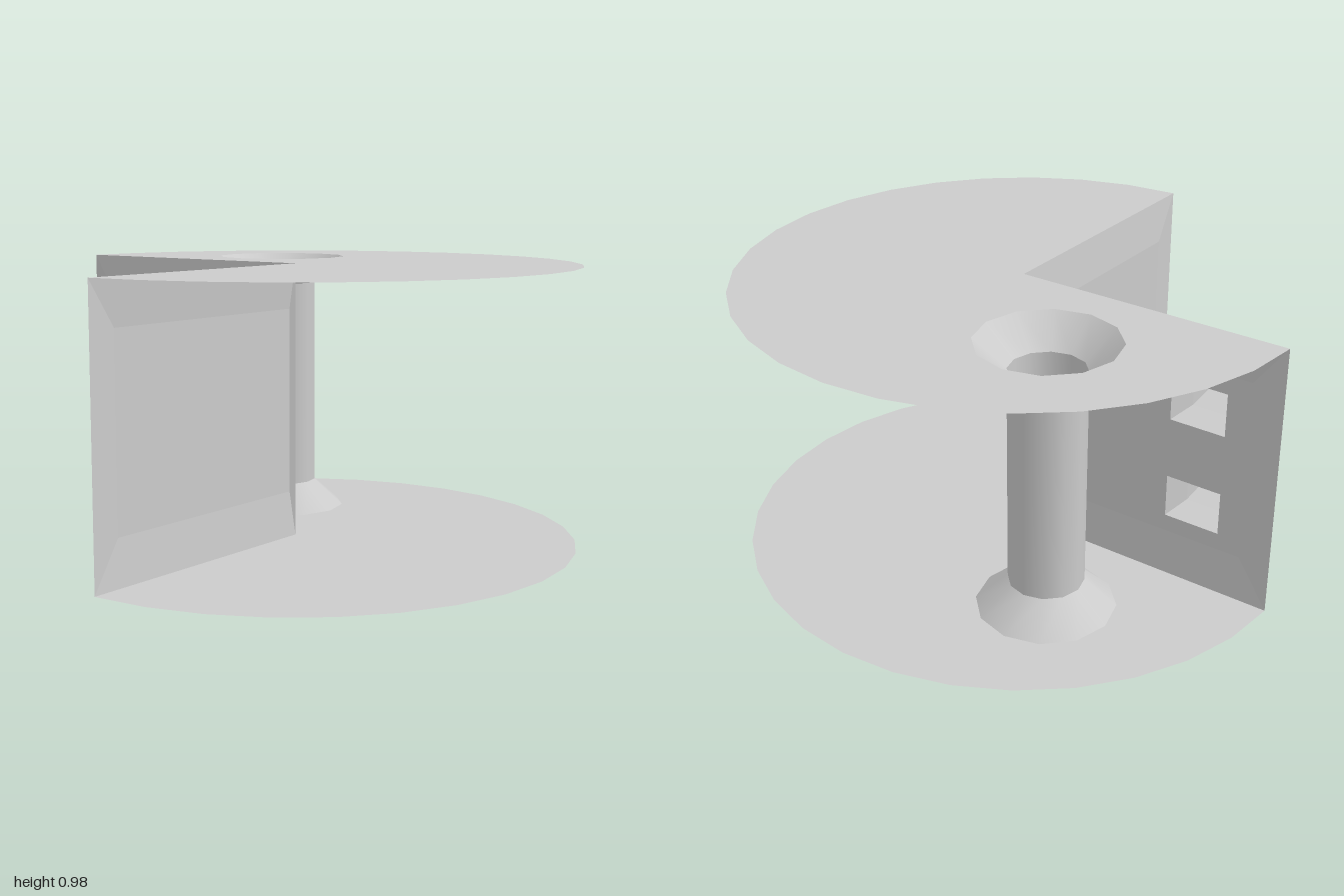
import * as THREE from 'three';

const H = 0.98, LOW = 0.16, HIGH = 0.82, BULGE = 0.015;
const HOLE = { x: -0.37, z: -0.385, r: 0.24, sides: 12 };
const HORN_Y = [0.3, 0.675], HORN_LEFT = -0.795, HORN_RIGHT = -0.59, HORN_HALF = 0.078;

const smooth = new THREE.MeshStandardMaterial({ color: 0xcccccc, side: THREE.DoubleSide });
const flat = new THREE.MeshStandardMaterial({ color: 0xcccccc, side: THREE.DoubleSide, flatShading: true });

function add(parent, name, geometry, material) {
  const mesh = new THREE.Mesh(geometry, material);
  mesh.name = name;
  parent.add(mesh);
  return mesh;
}

// Builds quads between successive rings of points
function loft(rings, closed) {
  const n = rings[0].length, index = [];
  for (let i = 0; i < rings.length - 1; i++) {
    for (let j = 0; j < (closed ? n : n - 1); j++) {
      const a = i * n + j, b = i * n + (j + 1) % n;
      index.push(a, b, b + n, a, b + n, a + n);
    }
  }
  const g = new THREE.BufferGeometry();
  g.setAttribute('position', new THREE.Float32BufferAttribute(rings.flat(2), 3));
  g.setIndex(index);
  g.computeVertexNormals();
  return g;
}

// Counter-clockwise rectangle
const rect = (x0, x1, y0, y1, z) => [[x0, y0, z], [x1, y0, z], [x1, y1, z], [x0, y1, z]];

// Three-quarter disc with a round hole
function discGeometry() {
  const pts = [new THREE.Vector2(0, 0)];
  for (let i = 0; i <= 24; i++) {
    const a = -Math.PI / 2 + i * Math.PI / 16;
    pts.push(new THREE.Vector2(Math.cos(a), Math.sin(a)));
  }
  const shape = new THREE.Shape(pts);
  const ring = [];
  for (let i = 0; i < HOLE.sides; i++) {
    const a = -i * 2 * Math.PI / HOLE.sides;
    ring.push(new THREE.Vector2(HOLE.x + HOLE.r * Math.cos(a), -HOLE.z + HOLE.r * Math.sin(a)));
  }
  shape.holes.push(new THREE.Path(ring));
  return new THREE.ShapeGeometry(shape).rotateX(-Math.PI / 2);
}

// Mouth wall: sloping border around a slightly raised panel
function wall(name, x0, x1, in0, in1, openings) {
  const group = new THREE.Group();
  group.name = name;
  add(group, name + 'Border', loft([rect(x0, x1, 0, H, 0), rect(in0, in1, LOW, HIGH, BULGE)], true), flat);
  const toPath = (corners) => corners.map(([x, y]) => new THREE.Vector2(x, y));
  const shape = new THREE.Shape(toPath(rect(in0, in1, LOW, HIGH, 0)));
  for (const y of openings) {
    const corners = rect(HORN_LEFT, HORN_RIGHT, y - HORN_HALF, y + HORN_HALF, 0);
    shape.holes.push(new THREE.Path(toPath(corners.reverse())));
  }
  add(group, name + 'Panel', new THREE.ShapeGeometry(shape).translate(0, 0, BULGE), flat);
  return group;
}

// Hooked horn, hollow at its base: [z, outer x, inner x, height scale]
function hornGeometry() {
  const sections = [
    [BULGE, HORN_LEFT, HORN_RIGHT, 1],
    [0.13, -0.77, -0.61, 0.85],
    [0.24, -0.715, -0.615, 0.56],
    [0.355, -0.61, -0.602, 0.03],
  ];
  return loft(sections.map(([z, a, b, s]) => rect(a, b, -HORN_HALF * s, HORN_HALF * s, z)), true);
}

export function createModel() {
  const model = new THREE.Group();
  model.name = 'notchedDisc';

  // Top and bottom faces
  add(model, 'bottomFace', discGeometry(), smooth);
  add(model, 'topFace', discGeometry(), smooth).position.y = H;

  // Walls of the notch
  model.add(wall('hornWall', -1, 0, -0.88, -BULGE, HORN_Y));
  const plain = wall('plainWall', 0, 1, BULGE, 0.88, []);
  plain.rotation.y = -Math.PI / 2;
  model.add(plain);

  // Horns on the back wall
  for (const y of HORN_Y) add(model, 'horn', hornGeometry(), flat).position.y = y;

  // Tunnel with flared ends
  const flare = (name, top, bottom, y, h) => {
    const g = new THREE.CylinderGeometry(top, bottom, h, HOLE.sides, 1, true);
    add(model, name, g, smooth).position.set(HOLE.x, y, HOLE.z);
  };
  flare('tunnelBottomFlare', 0.13, HOLE.r, 0.05, 0.1);
  flare('tunnelShaft', 0.13, 0.13, H / 2, H - 0.2);
  flare('tunnelTopFlare', HOLE.r, 0.13, H - 0.05, 0.1);

  return model;
}
